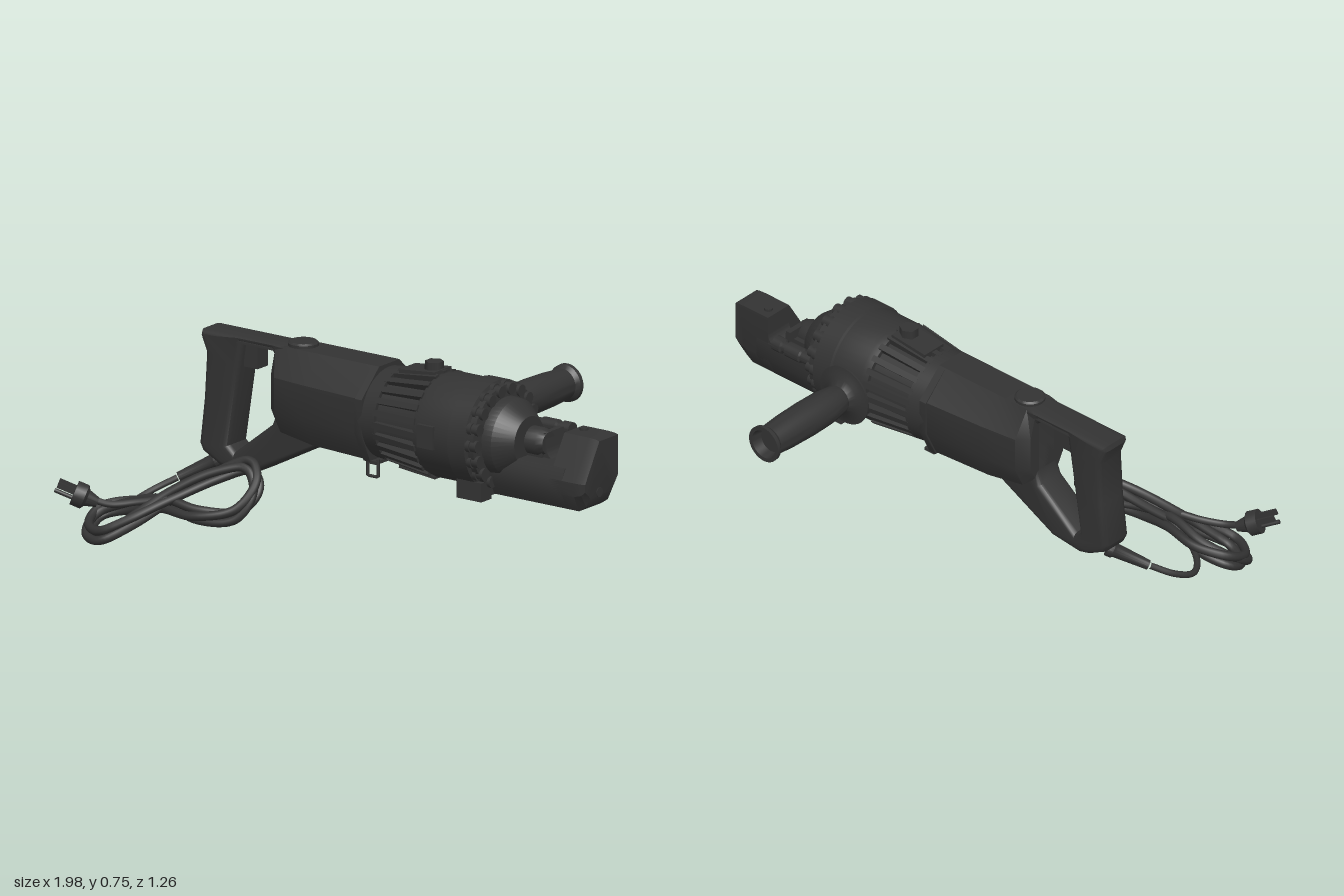
import * as THREE from 'three';
import { toCreasedNormals } from 'three/addons/utils/BufferGeometryUtils.js';

const V = (x, y, z) => new THREE.Vector3(x, y, z);
const material = new THREE.MeshStandardMaterial({ color: 0x333333 });
const CY = 0.52, CZ = 0.02; // main axis, running along x

export function createModel() {
  const model = new THREE.Group();

  function add(name, geometry, x = 0, y = 0, z = 0, parent = model) {
    const mesh = new THREE.Mesh(geometry, material);
    mesh.name = name;
    mesh.position.set(x, y, z);
    parent.add(mesh);
    return mesh;
  }
  const lathe = (pts, seg = 40) => toCreasedNormals(
    new THREE.LatheGeometry(pts.map(p => new THREE.Vector2(p[0], p[1])), seg), 0.6);
  // profile of [radius, x] turned around the x axis
  const latheX = (pts, seg) => lathe(pts, seg).rotateZ(-Math.PI / 2);
  const tube = (pts, r, seg = 40, closed = false, sides = 10) =>
    new THREE.TubeGeometry(new THREE.CatmullRomCurve3(pts, closed), seg, r, sides, closed);

  // skin over sections [x, [[z, y], ...]], rings running top, +z, bottom, -z
  function loft(sections, crease = 0.5) {
    const pos = [], idx = [], n = sections[0][1].length;
    for (const [x, ring] of sections) for (const [z, y] of ring) pos.push(x, y, z);
    for (let i = 0; i < sections.length - 1; i++)
      for (let j = 0; j < n; j++) {
        const a = i * n + j, b = i * n + (j + 1) % n;
        idx.push(a, b, b + n, a, b + n, a + n);
      }
    const last = (sections.length - 1) * n;
    for (let j = 1; j < n - 1; j++) idx.push(0, j + 1, j, last, last + j, last + j + 1);
    const g = new THREE.BufferGeometry();
    g.setAttribute('position', new THREE.Float32BufferAttribute(pos, 3));
    g.setIndex(idx);
    return toCreasedNormals(g, crease);
  }
  const shape = pts => new THREE.Shape(pts.map(p => new THREE.Vector2(p[0], p[1])));

  // D-shaped rear handle
  const frame = shape([[-0.72, 0.7], [-0.725, 0.68], [-0.7, 0.62], [-0.71, 0.45], [-0.73, 0.28], [-0.715, 0.25],
    [-0.64, 0.21], [-0.6, 0.2], [-0.47, 0.215], [-0.17, 0.37], [-0.17, 0.7]]);
  frame.holes.push(new THREE.Path([[-0.54, 0.675], [-0.555, 0.58], [-0.6, 0.29], [-0.575, 0.27], [-0.41, 0.4],
    [-0.39, 0.45], [-0.39, 0.65], [-0.41, 0.675]].map(p => new THREE.Vector2(p[0], p[1]))));
  add('rearHandle', toCreasedNormals(new THREE.ExtrudeGeometry(frame, {
    depth: 0.08, bevelThickness: 0.024, bevelSize: 0.022, bevelOffset: -0.022, bevelSegments: 4
  }), 0.6), 0, 0, CZ - 0.04);
  add('trigger', new THREE.BoxGeometry(0.06, 0.09, 0.06), -0.52, 0.63, CZ);

  // motor body, eight-sided with a flat top
  const bodyRing = (w, top, bottom) => [[-0.06, top], [0.06, top], [w, 0.6], [w, 0.47], [w * 0.68, bottom],
    [-w * 0.68, bottom], [-w, 0.47], [-w, 0.6]].map(([z, y]) => [z + CZ, y]);
  add('motorBody', loft([[-0.39, bodyRing(0.085, 0.69, 0.42)], [-0.35, bodyRing(0.122, 0.7, 0.39)],
    [-0.2, bodyRing(0.14, 0.7, 0.37)], [0.06, bodyRing(0.16, 0.7, 0.365)]]));
  add('bodyCollar', loft([[0.04, bodyRing(0.165, 0.7, 0.36)], [0.07, bodyRing(0.165, 0.7, 0.36)]]));
  add('topCap', lathe([[0, 0], [0.055, 0], [0.055, 0.012], [0.048, 0.018], [0, 0.018]]), -0.31, 0.698, CZ);

  // finned motor housing
  add('motorHousing', latheX([[0, 0.05], [0.165, 0.05], [0.173, 0.13], [0.158, 0.13], [0.17, 0.33], [0, 0.33]]), 0, CY, CZ);
  const fins = new THREE.Group();
  fins.name = 'coolingFins';
  fins.position.set(0, CY, CZ);
  model.add(fins);
  for (let i = 0; i < 24; i++) {
    const h = 0.011;
    const fin = add('fin', loft([[0.12, [[-h, 0.172], [h, 0.172], [h, 0.14], [-h, 0.14]]],
      [0.32, [[-h, 0.196], [h, 0.196], [h, 0.14], [-h, 0.14]]]]), 0, 0, 0, fins);
    fin.rotation.x = i * Math.PI / 12;
  }
  for (const s of [-1, 1]) {
    const cover = add('brushCover', new THREE.BoxGeometry(0.16, 0.03, 0.1), 0.23, CY + s * 0.175, CZ);
    cover.rotation.z = s * 0.1;
  }
  add('topKnob', new THREE.CylinderGeometry(0.034, 0.036, 0.05, 6).toNonIndexed(), 0.27, 0.718, CZ);

  // hanging wire loop under the body
  const wire = [V(0.05, 0.37, 0.12), V(0.05, 0.305, 0.12), V(0.095, 0.305, 0.12), V(0.095, 0.37, 0.12)];
  const bail = new THREE.CurvePath();
  for (let i = 0; i < 3; i++) bail.add(new THREE.LineCurve3(wire[i], wire[i + 1]));
  add('wireLoop', new THREE.TubeGeometry(bail, 30, 0.006, 8));
  add('wireLoopBar', new THREE.BoxGeometry(0.045, 0.012, 0.22), 0.073, 0.358, CZ);

  // hydraulic drum, bolted flange and nose
  add('drum', latheX([[0, 0.31], [0.185, 0.31], [0.192, 0.34], [0.192, 0.47], [0.2, 0.475], [0.2, 0.55], [0.187, 0.555],
    [0.187, 0.58], [0.145, 0.585], [0.142, 0.625], [0.09, 0.69], [0, 0.69]], 48), 0, CY, CZ);
  const bolts = new THREE.Group();
  bolts.name = 'flangeBolts';
  bolts.position.set(0, CY, CZ);
  model.add(bolts);
  for (let i = 0; i < 18; i++) {
    const a = (i + 0.5) * Math.PI / 9;
    add('bolt', new THREE.CylinderGeometry(0.022, 0.022, 0.05, 14).rotateZ(Math.PI / 2),
      0.568, Math.cos(a) * 0.172, Math.sin(a) * 0.172, bolts);
    add('flangeLug', new THREE.CylinderGeometry(0.024, 0.024, 0.025, 14).rotateZ(Math.PI / 2),
      0.555, Math.cos(a) * 0.176, Math.sin(a) * 0.176, bolts);
  }
  add('sideCap', new THREE.BoxGeometry(0.07, 0.085, 0.06), 0.375, 0.525, 0.19);
  for (const s of [-1, 1])
    add('flangeFoot', new THREE.BoxGeometry(0.11, 0.07, 0.06), 0.525, 0.34, CZ + s * 0.108);
  add('flangeBase', new THREE.BoxGeometry(0.11, 0.04, 0.26), 0.525, 0.338, CZ);

  // cutting head: lower arm, upright jaw, rounded slot and piston
  const lower = [[0.09, 0.47], [0.11, 0.43], [0.11, 0.38], [0.08, 0.32], [-0.05, 0.32], [-0.092, 0.4], [-0.092, 0.47]];
  add('jawArm', loft([[0.5, lower], [0.9, lower]]));
  const jaw = k => [[0.02, 0.578 - k * 0.1], [0.11 - k * 0.1, 0.43], [0.11 - k * 0.1, 0.38 + k * 0.4],
    [0.08 - k * 0.1, 0.32 + k], [-0.05, 0.32 + k], [-0.092, 0.4 + k * 0.5], [-0.092, 0.578 - k * 0.1]];
  add('fixedJaw', loft([[0.845, jaw(0)], [0.955, jaw(0)], [0.985, jaw(0.02)], [1, jaw(0.055)]]));
  const slot = shape([[0.74, 0.42], [0.86, 0.42], [0.86, 0.578], [0.845, 0.578], [0.845, 0.515]]);
  slot.absarc(0.805, 0.505, 0.04, 0, Math.PI, true);
  slot.lineTo(0.76, 0.56);
  slot.lineTo(0.74, 0.56);
  add('jawSlot', toCreasedNormals(new THREE.ExtrudeGeometry(slot, { depth: 0.11, bevelEnabled: false }), 0.5), 0, 0, -0.09);
  add('piston', latheX([[0, 0.66], [0.052, 0.66], [0.052, 0.735], [0.04, 0.762], [0, 0.762]], 24), 0, 0.52, 0);
  add('pistonGuide', new THREE.BoxGeometry(0.075, 0.1, 0.1), 0.715, 0.475, -0.02);
  add('jawPin', new THREE.CylinderGeometry(0.018, 0.018, 0.012, 20).rotateZ(Math.PI / 2), 0.996, 0.385, CZ);
  add('jawTopScrew', new THREE.CylinderGeometry(0.016, 0.016, 0.03, 16), 0.88, 0.572, -0.05);
  add('releaseValve', latheX([[0, 0.55], [0.022, 0.55], [0.022, 0.63], [0.028, 0.635], [0.028, 0.7], [0.02, 0.705],
    [0.02, 0.72], [0.028, 0.725], [0.028, 0.762], [0, 0.762]], 20), 0, 0.535, -0.14);

  // side handle with guard, pointing to the back
  add('sideHandle', lathe([[0, 0.14], [0.038, 0.14], [0.038, 0.2], [0.112, 0.208], [0.114, 0.216], [0.07, 0.225],
    [0.05, 0.245], [0.056, 0.26], [0.064, 0.33], [0.066, 0.42], [0.063, 0.53], [0.057, 0.61], [0.069, 0.625],
    [0.07, 0.64], [0.055, 0.64], [0.048, 0.6], [0, 0.6]]).rotateX(-Math.PI / 2), 0.367, 0.525, 0);

  // power cord: strain relief, lead, and a twisted figure-eight bundle
  const exit = V(-0.67, 0.22, 0.035), tip = V(-0.79, 0.15, 0.125);
  const relief = add('strainRelief', lathe([[0, 0], [0.032, 0], [0.032, 0.02], [0.026, 0.03], [0.018, 0.16], [0, 0.16]], 20),
    exit.x, exit.y, exit.z);
  relief.quaternion.setFromUnitVectors(V(0, 1, 0), tip.clone().sub(exit).normalize());
  add('cordLead', tube([tip, V(-0.85, 0.11, 0.19), V(-0.87, 0.085, 0.26), V(-0.83, 0.08, 0.33), V(-0.75, 0.1, 0.38),
    V(-0.62, 0.15, 0.4)], 0.012));
  const path = new THREE.CatmullRomCurve3([V(-0.62, 0.17, 0.4), V(-0.48, 0.26, 0.29), V(-0.38, 0.29, 0.245),
    V(-0.325, 0.23, 0.28), V(-0.36, 0.145, 0.345), V(-0.5, 0.125, 0.4), V(-0.65, 0.14, 0.39), V(-0.8, 0.11, 0.375),
    V(-0.905, 0.075, 0.43), V(-0.895, 0.035, 0.51), V(-0.81, 0.035, 0.555), V(-0.72, 0.09, 0.5)], true);
  const bundle = [], turns = 3, steps = 48;
  for (let i = 0; i < turns * steps; i++) {
    const p = path.getPointAt((i / steps) % 1), a = (i / steps) * Math.PI * 2 * 4 / 3;
    bundle.push(p.add(V(0, Math.cos(a) * 0.021, Math.sin(a) * 0.021)));
  }
  add('cordBundle', tube(bundle, 0.0165, 400, true));
  add('cordTail', tube([V(-0.62, 0.17, 0.41), V(-0.72, 0.15, 0.46), V(-0.8, 0.14, 0.51), V(-0.87, 0.155, 0.535)], 0.013));

  // three-pin plug
  const plug = new THREE.Group();
  plug.name = 'plug';
  plug.position.set(-0.86, 0.15, 0.535);
  plug.quaternion.setFromRotationMatrix(new THREE.Matrix4().lookAt(V(0, 0, 0), V(0.1, -0.048, -0.06), V(0, 1, 0)));
  model.add(plug);
  add('plugBody', lathe([[0, -0.02], [0.018, -0.02], [0.03, 0.02], [0.045, 0.03], [0.045, 0.07], [0, 0.07]], 20)
    .rotateX(Math.PI / 2), 0, 0, 0, plug);
  for (const s of [-1, 1]) add('blade', new THREE.BoxGeometry(0.008, 0.022, 0.07), s * 0.022, 0.01, 0.1, plug);
  add('groundPin', new THREE.CylinderGeometry(0.008, 0.008, 0.075, 12).rotateX(Math.PI / 2), 0, -0.02, 0.1, plug);

  return model;
}
